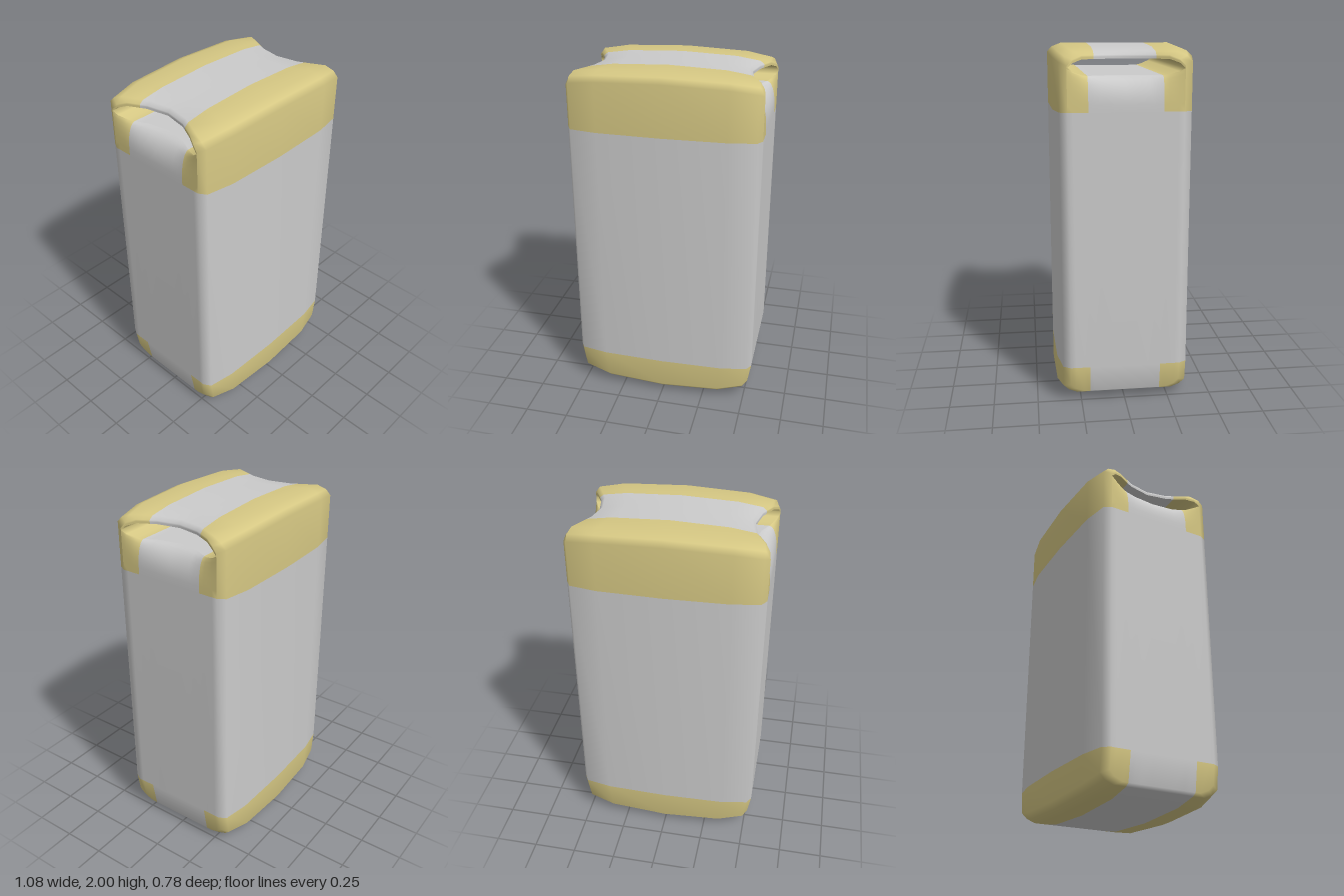
import * as THREE from 'three';
import { mergeVertices } from 'three/addons/utils/BufferGeometryUtils.js';

const END = 0.54; // half width of the body

// Piecewise-linear lookup in a short list of [key, value] pairs.
function interp(table, v) {
  let i = 0;
  while (i < table.length - 2 && v > table[i + 1][0]) i++;
  const [a, p] = table[i], [b, q] = table[i + 1];
  return p + (q - p) * THREE.MathUtils.clamp((v - a) / (b - a), 0, 1);
}

// Depth-dependent rules for the two finger openings.
const rim = z => interp([[0, 0.43], [0.13, 0.455], [0.2, 0.49], [0.28, 0.532], [0.31, END]], Math.abs(z));
const floorY = z => interp([[0.2, 1.845], [0.23, 1.85], [0.28, 1.868], [0.31, 1.885]], Math.abs(z));
const roofY = z => interp([[0.23, 1.93], [0.28, 1.912], [0.31, 1.885]], Math.abs(z));
const cornerDrop = z => interp([[0.23, 0], [0.28, 0.02], [0.31, 0.05]], Math.abs(z));

// Body narrows slightly towards its foot.
const taper = ([x, y, z]) => [x * (1 - 0.05 * THREE.MathUtils.clamp((0.22 - y) / 0.16, 0, 1)), y, z];

// Coloured bands wrap the front and back edges at the top and foot.
function isBand(y, z) {
  const limit = y > 1.87 ? 0.165 : 0.2;
  return (y < 0.22 || y > 1.66) && Math.abs(z) > limit;
}

// Adds a grid of points as triangles, sorted by colour.
function addGrid(lists, grid, flip = false) {
  for (let i = 0; i < grid.length - 1; i++) {
    for (let j = 0; j < grid[i].length - 1; j++) {
      const q = [grid[i][j], grid[i][j + 1], grid[i + 1][j + 1], grid[i + 1][j]].map(taper);
      const y = (q[0][1] + q[1][1] + q[2][1] + q[3][1]) / 4;
      const z = (q[0][2] + q[1][2] + q[2][2] + q[3][2]) / 4;
      const order = flip ? [0, 2, 1, 0, 3, 2] : [0, 1, 2, 0, 2, 3];
      const list = lists[isBand(y, z) ? 1 : 0];
      order.forEach(k => list.push(...q[k]));
    }
  }
}

function buildMesh(name, lists, materials) {
  let geometry = new THREE.BufferGeometry();
  geometry.setAttribute('position', new THREE.Float32BufferAttribute(lists[0].concat(lists[1]), 3));
  geometry = mergeVertices(geometry, 1e-4);
  geometry.clearGroups();
  geometry.addGroup(0, lists[0].length / 3, 0);
  geometry.addGroup(lists[0].length / 3, lists[1].length / 3, 1);
  geometry.computeVertexNormals();
  const mesh = new THREE.Mesh(geometry, materials);
  mesh.name = name;
  return mesh;
}

export function createModel() {
  const group = new THREE.Group();
  group.name = 'carryPack';

  const grey = new THREE.MeshStandardMaterial({ color: 0xcbcbcb, side: THREE.DoubleSide });
  grey.name = 'lightGrey';
  const sand = new THREE.MeshStandardMaterial({ color: 0xd5c783, side: THREE.DoubleSide });
  sand.name = 'sandYellow';
  const materials = [grey, sand];

  const flatZ = [0, 0.065, 0.13, 0.165, 0.2];
  const halfZ = [...flatZ, 0.23, 0.28, 0.31];
  const columns = [...halfZ.slice(1).reverse().map(z => -z), ...halfZ];

  // Rounded cross-section of the body at one station along x.
  function section([x, depth, top, bottom]) {
    const half = [
      ...flatZ.map(z => [z, top]),
      [depth - 0.08, top], [depth - 0.03, top - 0.02], [depth, top - 0.05],
      [depth, 1.66], [depth, 0.22],
      [depth, bottom + 0.05], [depth - 0.03, bottom + 0.02], [depth - 0.08, bottom],
      ...flatZ.slice().reverse().map(z => [z, bottom]),
    ];
    const ring = [...half, ...half.slice(0, -1).reverse().map(([z, y]) => [-z, y])];
    return ring.map(([z, y]) => [y > 1.8 ? x * rim(z) / END : x, y, z]);
  }

  // Front, back, top strap and base
  const shell = [[], []];
  const stations = [
    [0, 0.39, 2.0, 0],
    [0.36, 0.38, 1.988, 0.015],
    [0.515, 0.352, 1.968, 0.045],
    [END, 0.31, 1.95, 0.06],
  ];
  const mirrored = stations.slice(1).reverse().map(([x, ...rest]) => [-x, ...rest]);
  addGrid(shell, [...mirrored, ...stations].map(section));

  for (const side of [1, -1]) {
    // Side panel, rolling inwards at the top into the finger opening
    const rows = [
      z => [END, 0.06 + cornerDrop(z)],
      () => [END, 0.22],
      () => [END, 1.66],
    ];
    for (let k = 0; k <= 6; k++) {
      const a = (k / 6) * Math.PI / 2;
      rows.push(z => [
        rim(z) + (END - rim(z)) * Math.cos(a),
        1.7 + (floorY(z) - 1.7) * Math.sin(a),
      ]);
    }
    const panel = rows.map(row => columns.map(z => {
      const [x, y] = row(z);
      return [side * x, y, z];
    }));
    addGrid(shell, panel, side > 0);

    // Edge of the top strap
    const edge = [0, 0.5, 1].map(t => columns.map(z =>
      [side * rim(z), THREE.MathUtils.lerp(1.95 - cornerDrop(z), roofY(z), t), z]));
    addGrid(shell, edge, side < 0);
  }
  group.add(buildMesh('bodyShell', shell, materials));

  // Passage under the strap, open from side to side
  const tunnel = [[], []];
  const passage = height => [1, 0.5, 0, -0.5, -1].map(t =>
    columns.map(z => [t * rim(z), height(z), z]));
  addGrid(tunnel, passage(floorY), true);
  addGrid(tunnel, passage(roofY));
  group.add(buildMesh('handleTunnel', tunnel, materials));

  return group;
}
